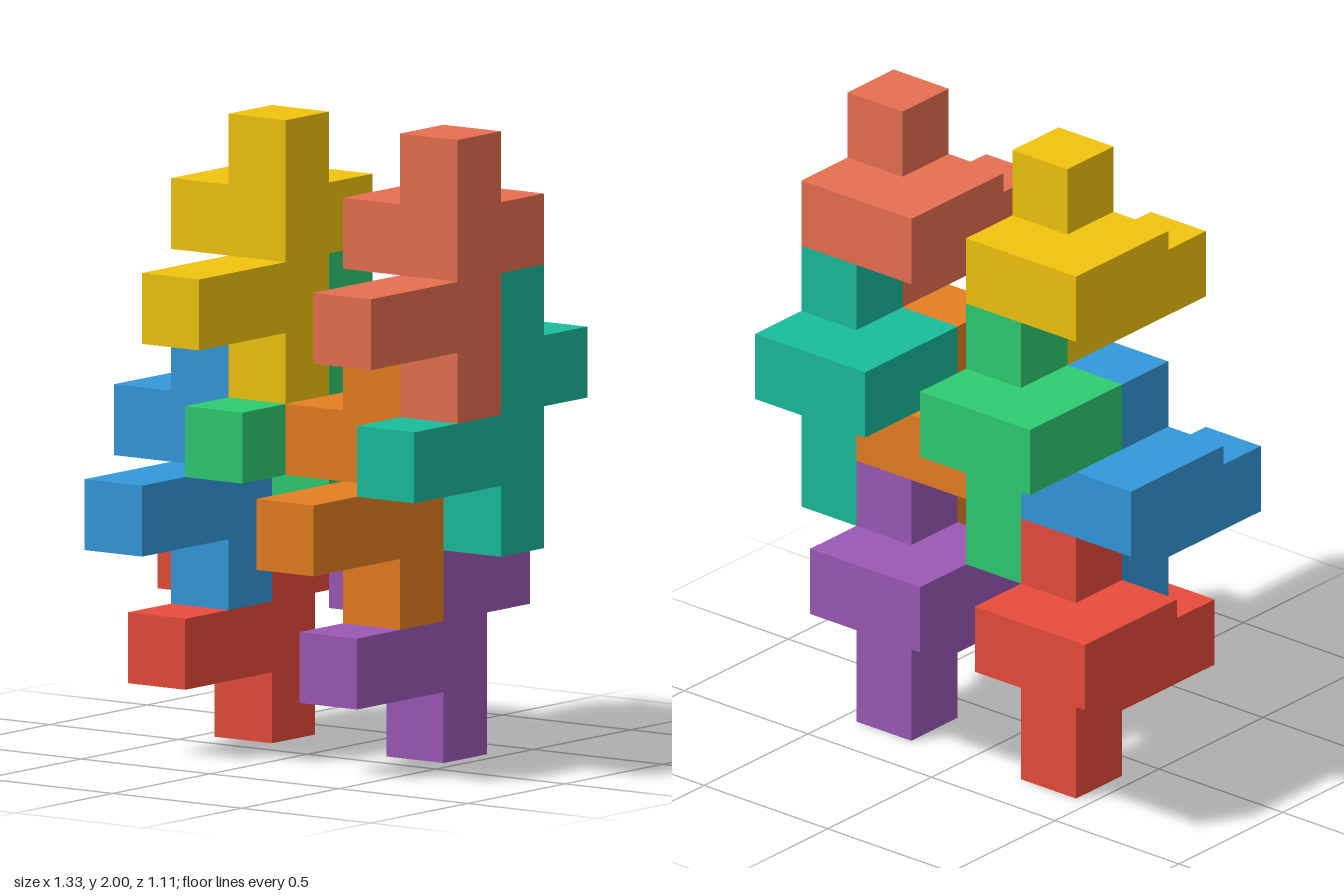
import * as THREE from 'three';

const U = 2 / 9; // edge of one lattice cube

// One box of a piece: size and centre given in lattice cubes
function block(name, size, centre, material) {
  const mesh = new THREE.Mesh(new THREE.BoxGeometry(...size.map(v => v * U)), material);
  mesh.position.set(...centre.map(v => v * U));
  mesh.name = name;
  return mesh;
}

// The repeated piece; its origin is the middle of the post's foot
function createPiece(name, color) {
  const material = new THREE.MeshStandardMaterial({ color, flatShading: true });
  const piece = new THREE.Group();
  piece.name = name;
  piece.add(
    block('lowerPost', [1, 2, 1], [0, 1, 0], material),
    block('forwardArm', [1, 1, 2], [0, 1.5, 1.5], material),
    block('squareSlab', [2, 1, 2], [-0.5, 2.5, -0.5], material),
    block('topPeg', [1, 1, 1], [0, 3.5, 0], material),
  );
  return piece;
}

export function createModel() {
  const model = new THREE.Group();
  model.name = 'interlockingPieces';
  // name, colour, and foot position (x, y, z) in lattice cubes
  const pieces = [
    ['redPiece', 0xe74c3c, -1.5, 0, -1],
    ['bluePiece', 0x3498db, -1.5, 2, 0],
    ['greenPiece', 0x2ecc71, -0.5, 3, -1],
    ['yellowPiece', 0xf1c40f, -0.5, 5, 0],
    ['purplePiece', 0x9b59b6, 1.5, 0, -1],
    ['orangePiece', 0xe67e22, 1.5, 2, 0],
    ['tealPiece', 0x1abc9c, 2.5, 3, -1],
    ['coralPiece', 0xe76f51, 2.5, 5, 0],
  ];
  for (const [name, color, x, y, z] of pieces) {
    const piece = createPiece(name, color);
    piece.position.set(x * U, y * U, z * U);
    model.add(piece);
  }
  return model;
}
